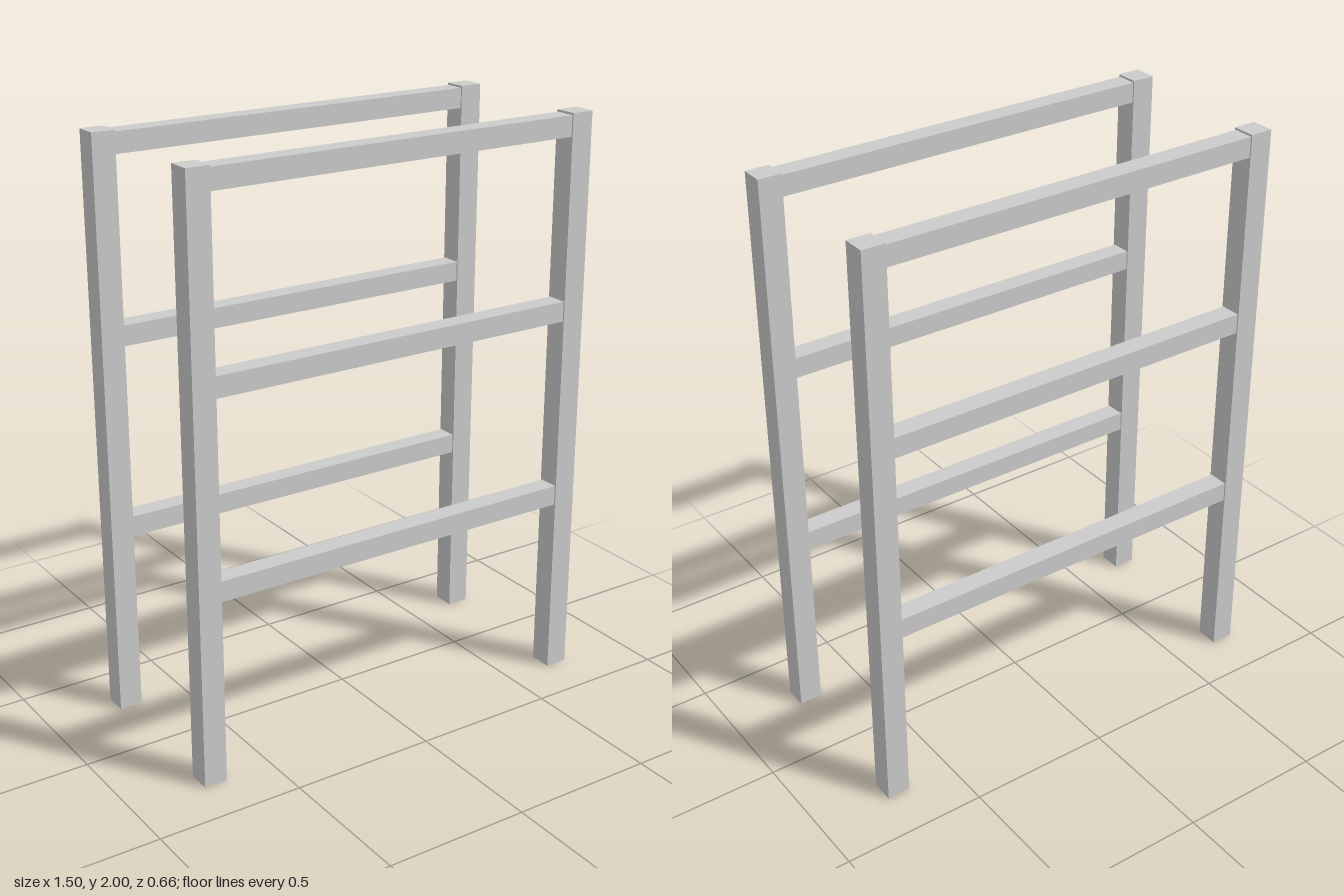
import * as THREE from 'three';

const POST = 0.08;    // square post section
const RAIL = 0.07;    // square rail section
const POST_X = 0.708; // post centre, sideways
const POST_Z = 0.292; // post centre, front to back
const HEIGHT = 2;
const RAIL_HEIGHTS = [0.668, 1.335, 1.958];

export function createModel() {
  const model = new THREE.Group();
  model.name = 'railRack';
  const material = new THREE.MeshStandardMaterial({ color: 0xcccccc });

  const addBar = (parent, name, size, position) => {
    const bar = new THREE.Mesh(new THREE.BoxGeometry(...size), material);
    bar.name = name;
    bar.position.set(...position);
    parent.add(bar);
  };

  // Two identical ladder-like frames, front and back
  for (const [side, z] of [['front', POST_Z], ['back', -POST_Z]]) {
    const frame = new THREE.Group();
    frame.name = `${side}Frame`;
    frame.position.z = z;

    // Upright posts
    addBar(frame, `${side}LeftPost`, [POST, HEIGHT, POST], [POST_X, HEIGHT / 2, 0]);
    addBar(frame, `${side}RightPost`, [POST, HEIGHT, POST], [-POST_X, HEIGHT / 2, 0]);

    // Horizontal rails between the inner faces of the posts
    RAIL_HEIGHTS.forEach((y, i) => {
      const name = `${side}${['Lower', 'Middle', 'Top'][i]}Rail`;
      addBar(frame, name, [2 * POST_X - POST, RAIL, RAIL], [0, y, 0]);
    });
    model.add(frame);
  }
  return model;
}
